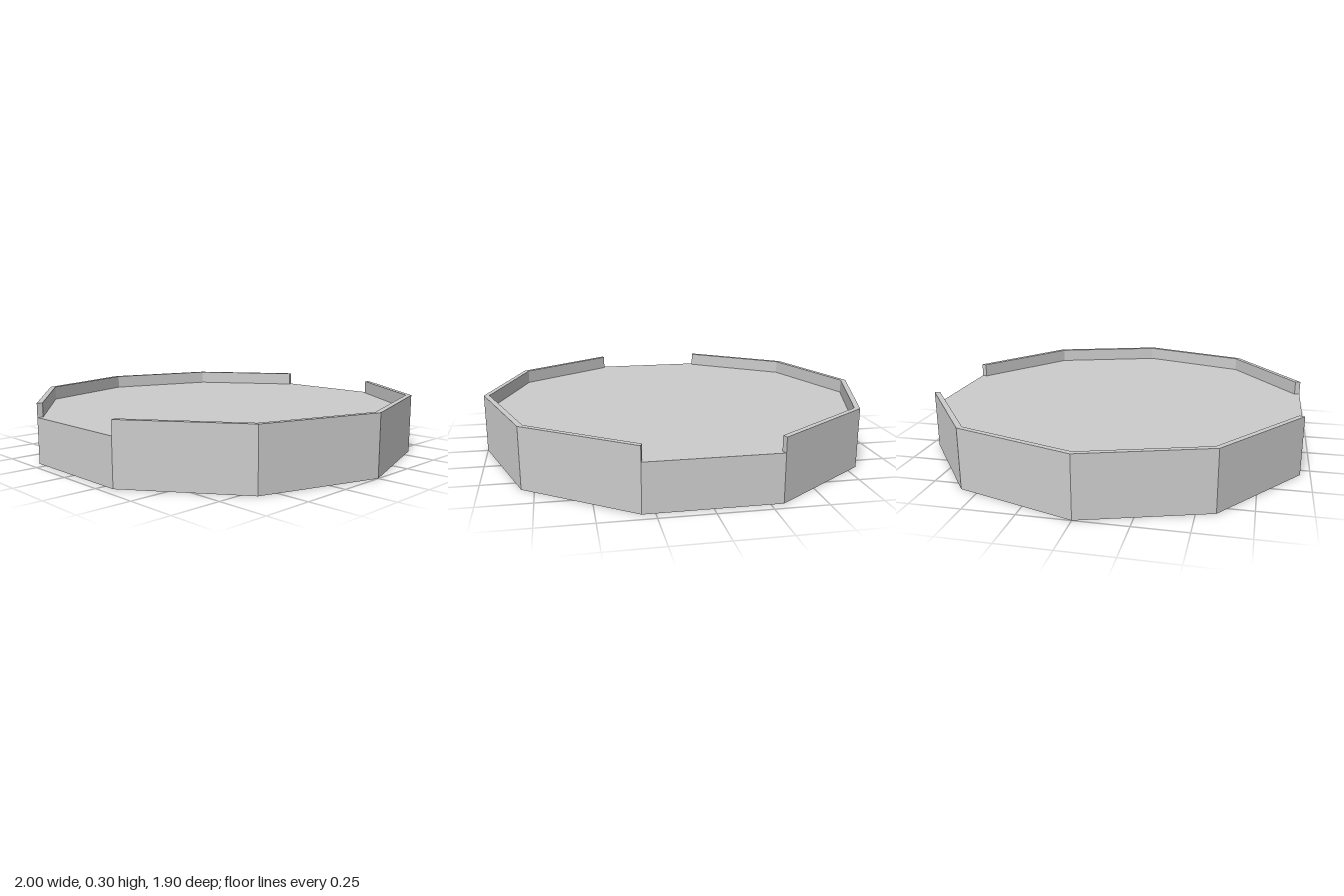
import * as THREE from 'three';

const SIDES = 10;
const FLOOR_Y = 0.23;  // top of the solid base
const RIM_Y = 0.3;     // top of the raised rims
const INNER = 0.972;   // inner radius of the rims

const material = new THREE.MeshStandardMaterial({ color: 0xcccccc, flatShading: true });

// Raised rim along four sides, open at the front and back
function createRim(name, middleAngle) {
  const points = [];
  const addCorner = (step, radius) => {
    const a = middleAngle + step * Math.PI * 2 / SIDES;
    points.push(new THREE.Vector2(radius * Math.cos(a), radius * Math.sin(a)));
  };
  for (let i = -2; i <= 2; i++) addCorner(i, 1);
  for (let i = 2; i >= -2; i--) addCorner(i, INNER);

  const geometry = new THREE.ExtrudeGeometry(new THREE.Shape(points), {
    depth: RIM_Y - FLOOR_Y,
    bevelEnabled: false,
  });
  geometry.rotateX(-Math.PI / 2);
  geometry.translate(0, FLOOR_Y, 0);
  const rim = new THREE.Mesh(geometry, material);
  rim.name = name;
  return rim;
}

export function createModel() {
  const model = new THREE.Group();
  model.name = 'decagonalPlatform';

  // Solid ten-sided base with corners on the x axis
  const baseGeometry = new THREE.CylinderGeometry(1, 1, FLOOR_Y, SIDES, 1, false, Math.PI / 2);
  baseGeometry.translate(0, FLOOR_Y / 2, 0);
  const base = new THREE.Mesh(baseGeometry, material);
  base.name = 'base';

  model.add(base, createRim('leftRim', 0), createRim('rightRim', Math.PI));
  return model;
}
